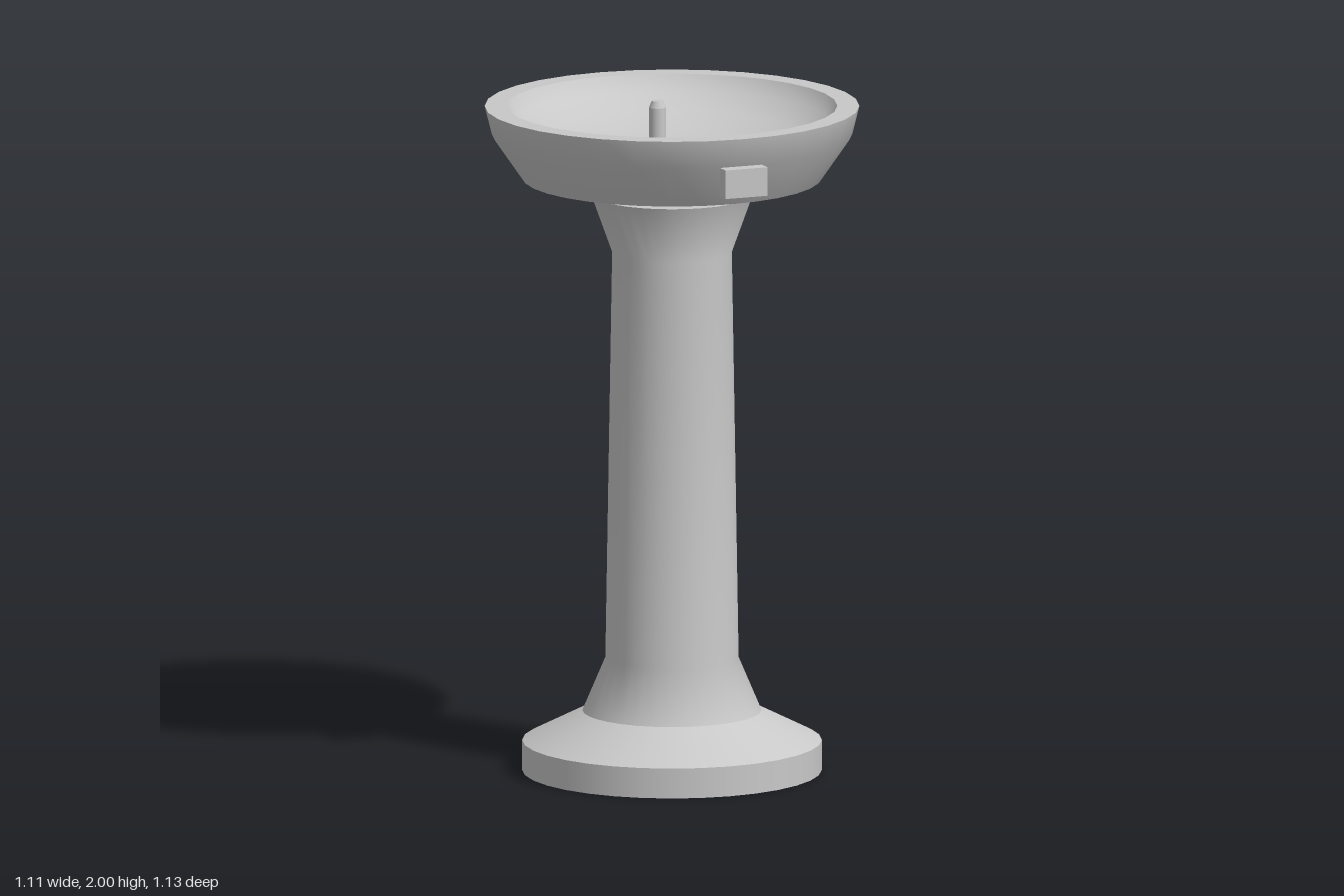
import * as THREE from 'three';

const SIDES = 32;

export function createModel() {
  const model = new THREE.Group();
  const stone = new THREE.MeshStandardMaterial({ color: 0xc8c8c8 });
  stone.name = 'pale grey stone';

  // Turned part: each section is smooth inside, with a sharp edge between sections.
  // Profiles run from the bottom axis outward, up, then back in.
  const turned = (name, sections) => {
    const part = new THREE.Group();
    part.name = name;
    for (const [label, points] of Object.entries(sections)) {
      const profile = points.map(([r, y]) => new THREE.Vector2(r, y));
      const mesh = new THREE.Mesh(new THREE.LatheGeometry(profile, SIDES), stone);
      mesh.name = label;
      part.add(mesh);
    }
    model.add(part);
    return part;
  };

  // Round foot and flared column
  const pedestal = turned('pedestal', {
    footUnderside: [[0, 0], [0.443, 0]],
    footRim: [[0.443, 0], [0.443, 0.09]],
    footSlope: [[0.443, 0.09], [0.265, 0.18]],
    column: [[0.265, 0.18], [0.197, 0.34], [0.177, 1.56], [0.24, 1.735]],
    columnTop: [[0.24, 1.735], [0, 1.735]],
  });

  // Shallow hollow bowl
  const bowl = turned('bowl', {
    bowlUnderside: [[0, 1.738], [0.442, 1.783]],
    bowlWall: [[0.442, 1.783], [0.533, 1.915], [0.554, 2]],
    bowlRim: [[0.554, 2], [0.489, 2]],
    bowlInside: [[0.489, 2], [0.46, 1.955], [0.38, 1.908], [0.25, 1.875], [0.12, 1.86], [0, 1.855]],
  });

  // Water spout with a bevelled tip
  const spout = turned('spout', {
    spoutPipe: [[0.025, 1.85], [0.025, 1.975]],
    spoutBevel: [[0.025, 1.975], [0.017, 1.995]],
    spoutTip: [[0.017, 1.995], [0, 1.995]],
  });

  // Push button on the front
  const button = new THREE.Mesh(new THREE.BoxGeometry(0.134, 0.086, 0.043), stone);
  button.name = 'pushButton';
  button.position.set(0, 1.872, 0.545);
  model.add(button);

  pedestal.position.z = bowl.position.z = -0.012;
  spout.position.z = -0.124;
  return model;
}
